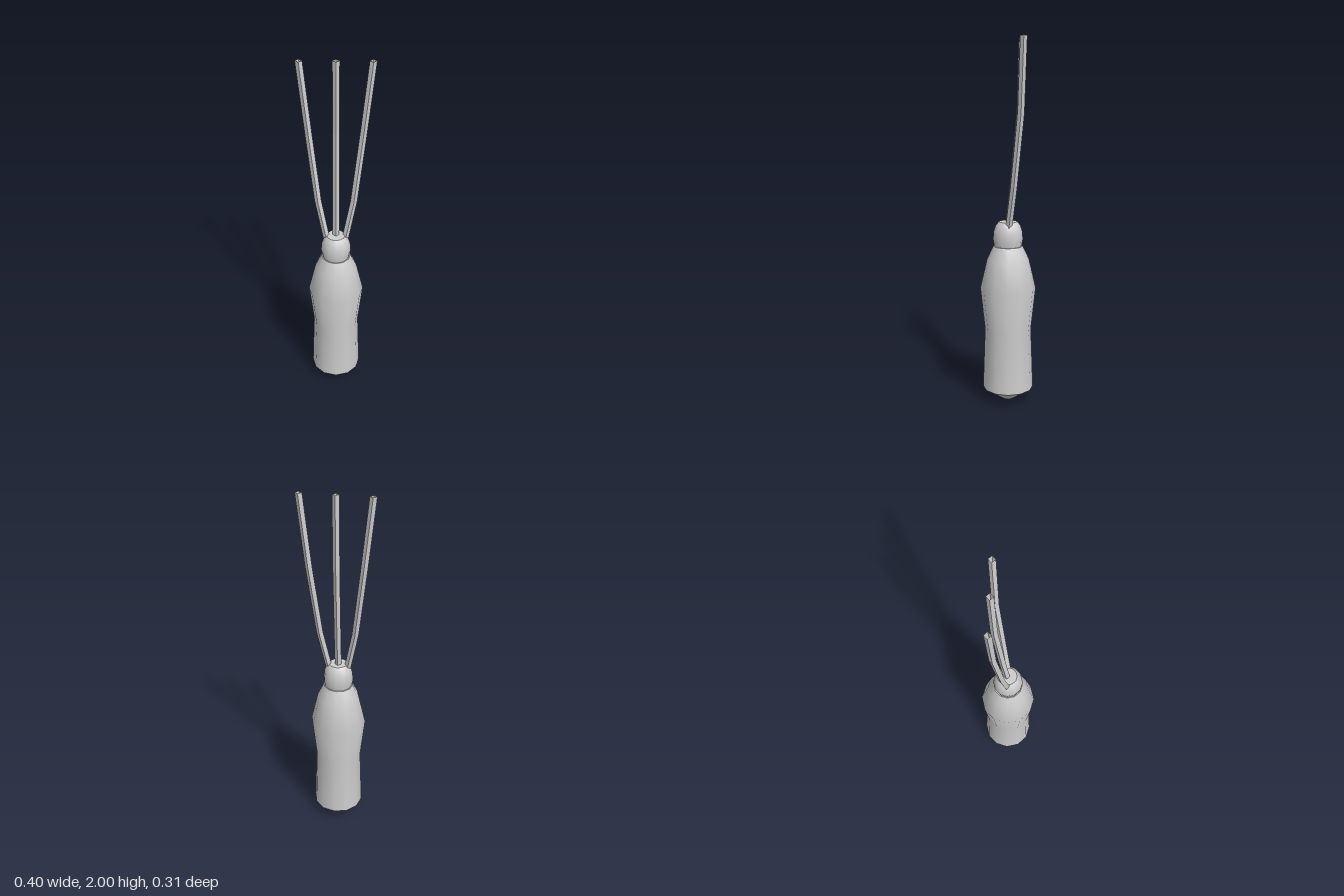
import * as THREE from 'three';

const SIDES = 12;

export function createModel() {
  const group = new THREE.Group();
  group.name = 'handleWithProngs';
  const grey = new THREE.MeshStandardMaterial({ color: 0xcccccc, side: THREE.DoubleSide });
  grey.name = 'light grey';

  const add = (name, geometry) => {
    const mesh = new THREE.Mesh(geometry, grey);
    mesh.name = name;
    group.add(mesh);
  };
  // Twelve-sided turned part from [radius, height] pairs, bottom to top
  const turned = (profile) =>
    new THREE.LatheGeometry(profile.map(([r, y]) => new THREE.Vector2(r, y)), SIDES);

  // Open rod with a diamond section, level at every path point, flat faces
  const rod = (path, radius) => {
    const corner = ([x, y, z], k) => [
      x + radius * Math.sin((k * Math.PI) / 2), y, z + radius * Math.cos((k * Math.PI) / 2)];
    const positions = [];
    for (let i = 0; i < path.length - 1; i++) {
      for (let k = 0; k < 4; k++) {
        const a = corner(path[i], k), b = corner(path[i], k + 1);
        const c = corner(path[i + 1], k + 1), d = corner(path[i + 1], k);
        positions.push(...a, ...b, ...c, ...a, ...c, ...d);
      }
    }
    const geometry = new THREE.BufferGeometry();
    geometry.setAttribute('position', new THREE.Float32BufferAttribute(positions, 3));
    geometry.computeVertexNormals();
    return geometry;
  };

  // Handle: pointed foot, waisted grip and flat shoulder
  add('footTip', turned([[0, 0], [0.03, 0]]));
  add('footCone', turned([[0.03, 0], [0.14, 0.07]]));
  add('grip', turned([[0.14, 0.07], [0.128, 0.41], [0.153, 0.645], [0.115, 0.81], [0.08, 0.883]]));
  add('shoulder', turned([[0.08, 0.883], [0, 0.883]]));

  // Rounded head with a flat top
  add('head', turned([[0.074, 0.88], [0.082, 0.92], [0.078, 0.965], [0.066, 1.0], [0.05, 1.018]]));
  add('headTop', turned([[0.05, 1.018], [0, 1.018]]));

  // Three prongs, bending backwards and fanning out to the sides
  const heights = [0.99, 1.22, 1.61, 2];
  const depths = [-0.004, -0.03, -0.066, -0.078];
  const spread = [0.05, 0.095, 0.14, 0.18];
  for (const [name, side] of [['leftProng', 1], ['middleProng', 0], ['rightProng', -1]]) {
    add(name, rod(heights.map((y, i) => [side * spread[i], y, depths[i]]), 0.018));
  }
  return group;
}
